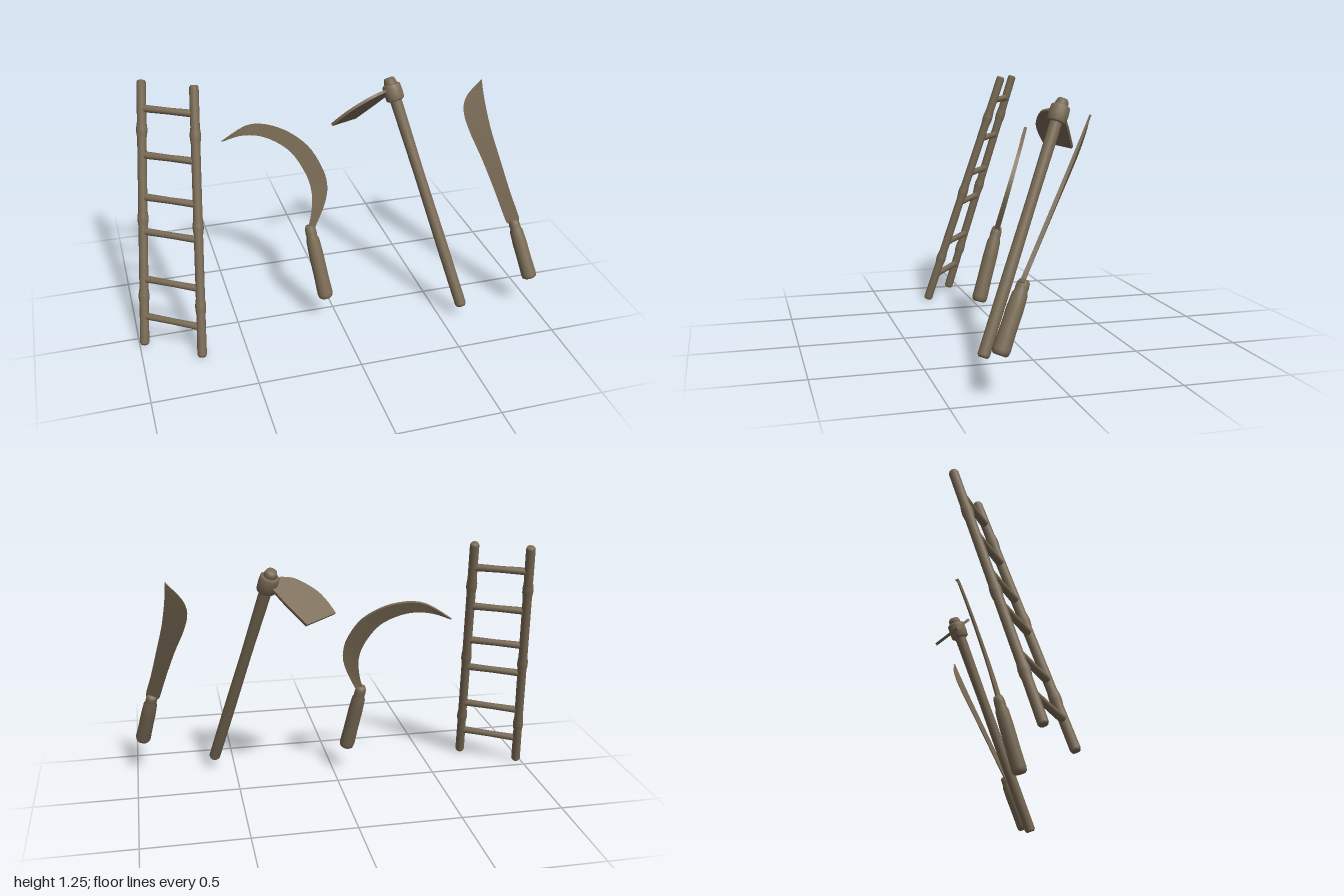
import * as THREE from 'three';

const wood = new THREE.MeshStandardMaterial({ color: 0x7a6b55 });
wood.name = 'weathered brown';
const V = (p) => new THREE.Vector3(...p);

// Turned rod from a to b; profile is [radius, fraction along the rod]
function rod(name, a, b, profile, sides = 14) {
  const dir = V(b).sub(V(a));
  const len = dir.length();
  const pts = profile.map(([r, t]) => new THREE.Vector2(r, t * len));
  pts.unshift(new THREE.Vector2(0, pts[0].y));
  pts.push(new THREE.Vector2(0, pts[pts.length - 1].y));
  const mesh = new THREE.Mesh(new THREE.LatheGeometry(pts, sides), wood);
  mesh.name = name;
  mesh.position.copy(V(a));
  mesh.quaternion.setFromUnitVectors(new THREE.Vector3(0, 1, 0), dir.normalize());
  return mesh;
}

// Flat blade lofted between two edge curves, lying in the plane z = z0 + b*x + c*y
function blade(name, left, right, steps, [z0, b, c], tLeft, tRight) {
  const curve = (pts) => new THREE.SplineCurve(pts.map((p) => new THREE.Vector2(...p)));
  const lc = curve(left), rc = curve(right);
  const n = new THREE.Vector3(-b, -c, 1).normalize();
  const at = (p, t) => new THREE.Vector3(p.x, p.y, z0 + b * p.x + c * p.y).addScaledVector(n, t);
  const rings = [];
  for (let i = 0; i <= steps; i++) {
    const l = lc.getPoint(i / steps), r = rc.getPoint(i / steps);
    const k = 1 - 0.6 * i / steps;
    rings.push([at(l, tLeft * k), at(r, tRight * k), at(r, -tRight * k), at(l, -tLeft * k)]);
  }
  const tris = [];
  const quad = (p, q, r, s) => tris.push(p, q, r, p, r, s);
  for (let i = 0; i < steps; i++) {
    for (let j = 0; j < 4; j++) {
      const m = (j + 1) % 4;
      quad(rings[i][j], rings[i][m], rings[i + 1][m], rings[i + 1][j]);
    }
  }
  const [s, e] = [rings[0], rings[steps]];
  quad(s[3], s[2], s[1], s[0]);
  quad(e[0], e[1], e[2], e[3]);
  const geo = new THREE.BufferGeometry().setFromPoints(tris);
  geo.computeVertexNormals();
  const mesh = new THREE.Mesh(geo, wood);
  mesh.name = name;
  return mesh;
}

// Rounded grip narrowing to a ferrule at the top
const grip = [
  [0.026, 0], [0.035, 0.02], [0.038, 0.07], [0.036, 0.3], [0.036, 0.6], [0.033, 0.8],
  [0.027, 0.85], [0.028, 0.9], [0.026, 0.96], [0.02, 1],
];

function makeLadder() {
  const g = new THREE.Group();
  g.name = 'ladder';
  const rails = [
    [[-0.977, 0.01, 0.06], [-0.84, 1.245, -0.292]],
    [[-0.722, 0.01, 0.235], [-0.615, 1.245, -0.163]],
  ];
  const knots = [0.19, 0.49, 0.82];
  rails.forEach(([a, b], i) => {
    const profile = [[0.018, 0], [0.023, 0.008]];
    for (const k of knots) {
      profile.push([0.022, k - 0.03], [0.026, k - 0.008], [0.026, k + 0.008], [0.022, k + 0.03]);
    }
    profile.push([0.022, 0.992], [0.017, 1]);
    g.add(rod(i ? 'leftRail' : 'rightRail', a, b, profile));
  });
  for (const y of [0.15, 0.33, 0.556, 0.717, 0.91, 1.12]) {
    const [p, q] = rails.map(([a, b]) => V(a).lerp(V(b), (y - 0.01) / 1.235).toArray());
    g.add(rod('rung', p, q, [[0.018, 0], [0.016, 0.5], [0.018, 1]], 10));
  }
  return g;
}

function makeSickle() {
  const g = new THREE.Group();
  g.name = 'sickle';
  g.add(rod('sickleHandle', [-0.065, 0.145, 0.108], [-0.118, 0.51, -0.004], grip));
  const inner = [[-0.128, 0.49], [-0.104, 0.572], [-0.094, 0.668], [-0.115, 0.76], [-0.18, 0.866],
    [-0.286, 0.928], [-0.39, 0.936], [-0.488, 0.906]];
  const outer = [[-0.098, 0.49], [-0.04, 0.61], [-0.019, 0.7], [-0.037, 0.79], [-0.1, 0.897],
    [-0.217, 0.973], [-0.355, 0.988], [-0.491, 0.909]];
  g.add(blade('sickleBlade', inner, outer, 32, [0.186, 0.316, -0.3], 0.003, 0.014));
  return g;
}

function makeHoe() {
  const g = new THREE.Group();
  g.name = 'hoe';
  const a = [0.605, 0.07, 0.262], b = [0.338, 1.165, -0.187];
  g.add(rod('hoeShaft', a, b,
    [[0.022, 0], [0.028, 0.01], [0.028, 0.3], [0.026, 0.6], [0.029, 0.9], [0.031, 0.985], [0.024, 1]]));
  const on = (t) => V(a).lerp(V(b), t).toArray();
  g.add(rod('hoeCollar', on(0.905), on(0.975),
    [[0.036, 0], [0.045, 0.08], [0.047, 0.5], [0.045, 0.92], [0.036, 1]], 16));

  // Blade outline: u runs along the cutting edge, v runs from it to the collar
  const s = new THREE.Shape();
  s.moveTo(0.5, 0);
  s.lineTo(0.36, 0.6);
  s.lineTo(0.25, 0.95);
  s.lineTo(0, 1.15);
  s.lineTo(-0.3, 1.15);
  s.splineThru([[-0.58, 1.0], [-0.72, 0.62], [-0.65, 0.3], [-0.5, 0]].map((p) => new THREE.Vector2(...p)));
  const geo = new THREE.ExtrudeGeometry(s, { depth: 1, bevelEnabled: false, curveSegments: 16 });
  geo.translate(0, 0, -0.5);
  const u = new THREE.Vector3(0.15, -0.02, -0.095);
  const v = new THREE.Vector3(0.185, 0.15, 0.067);
  const n = u.clone().cross(v).setLength(0.014);
  geo.applyMatrix4(new THREE.Matrix4().makeBasis(u, v, n).setPosition(0.125, 0.94, -0.237));
  const mesh = new THREE.Mesh(geo, wood);
  mesh.name = 'hoeBlade';
  g.add(mesh);
  return g;
}

function makeMachete() {
  const g = new THREE.Group();
  g.name = 'machete';
  g.add(rod('macheteHandle', [0.963, 0.19, 0.287], [0.9, 0.475, 0.165], grip));
  const edge = [[0.872, 0.455], [0.862, 0.48], [0.826, 0.61], [0.783, 0.75], [0.737, 0.88],
    [0.72, 0.973], [0.742, 1.045], [0.808, 1.12]];
  const spine = [[0.915, 0.455], [0.926, 0.485], [0.897, 0.6], [0.863, 0.755], [0.836, 0.88],
    [0.822, 0.973], [0.814, 1.05], [0.811, 1.123]];
  g.add(blade('macheteBlade', edge, spine, 28, [-0.137, 0.55, -0.4], 0.003, 0.011));
  return g;
}

export function createModel() {
  const model = new THREE.Group();
  model.name = 'farmTools';
  model.add(makeLadder(), makeSickle(), makeHoe(), makeMachete());
  return model;
}
